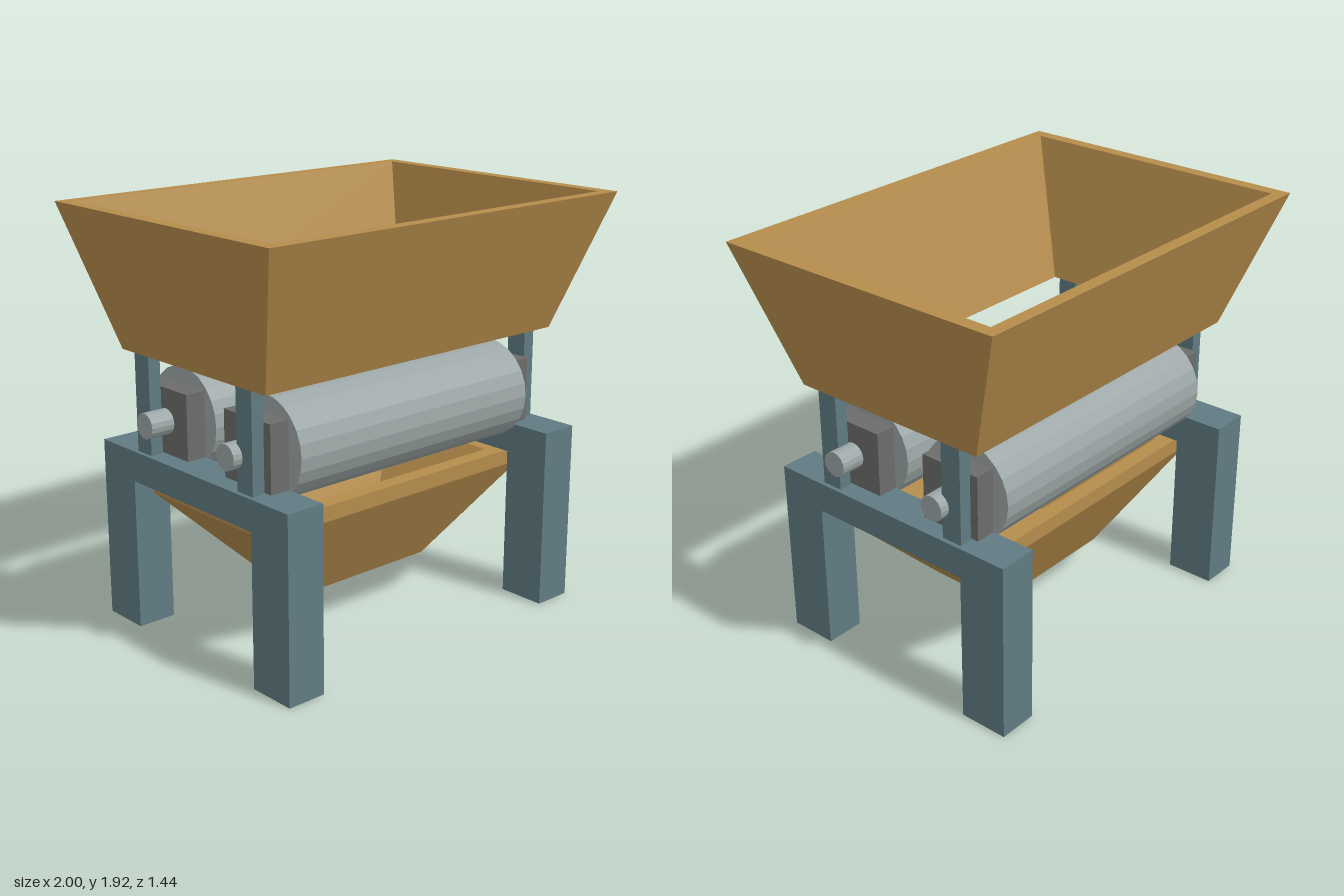
import * as THREE from 'three';

const material = (color) => new THREE.MeshStandardMaterial({ color, flatShading: true });

// Joins rectangular rings [halfX, y, halfZ] into a closed hollow shell:
// outside from bottom to top, then inside from top to bottom.
function hollowShell(rings) {
  const corners = [[1, 1], [1, -1], [-1, -1], [-1, 1]];
  const point = ([hx, y, hz], k) => [corners[k % 4][0] * hx, y, corners[k % 4][1] * hz];
  const positions = [];
  rings.forEach((a, i) => {
    const b = rings[(i + 1) % rings.length];
    for (let k = 0; k < 4; k++) {
      const [p, q, r, s] = [point(a, k), point(a, k + 1), point(b, k + 1), point(b, k)];
      positions.push(...p, ...q, ...r, ...p, ...r, ...s);
    }
  });
  const geometry = new THREE.BufferGeometry();
  geometry.setAttribute('position', new THREE.Float32BufferAttribute(positions, 3));
  geometry.computeVertexNormals();
  return geometry;
}

export function createModel() {
  const model = new THREE.Group();
  model.name = 'rollerMill';
  const wood = material(0xb58c4c);
  const frame = material(0x607b82);
  const steel = material(0x9ca6a6);
  const iron = material(0x6c6c6a);

  function add(name, geometry, mat, x = 0, y = 0, z = 0) {
    const mesh = new THREE.Mesh(geometry, mat);
    mesh.name = name;
    mesh.position.set(x, y, z);
    model.add(mesh);
    return mesh;
  }
  // Box given by its lower and upper limits
  function box(name, mat, [x0, x1], [y0, y1], [z0, z1]) {
    add(name, new THREE.BoxGeometry(x1 - x0, y1 - y0, z1 - z0), mat,
      (x0 + x1) / 2, (y0 + y1) / 2, (z0 + z1) / 2);
  }
  const mirror = ([a, b], side) => (side > 0 ? [a, b] : [-b, -a]);

  // Feed hopper
  add('hopper', hollowShell([
    [0.84, 1.285, 0.49], [1, 1.92, 0.72], [0.94, 1.92, 0.66], [0.78, 1.285, 0.43],
  ]), wood);

  // Discharge chute with an upright rim
  add('chute', hollowShell([
    [0.35, 0.21, 0.175], [0.77, 0.63, 0.395], [0.77, 0.7, 0.395],
    [0.62, 0.7, 0.32], [0.29, 0.21, 0.115],
  ]), wood);

  // Rollers and their shafts
  for (const z of [0.28, -0.28]) {
    const barrel = new THREE.CylinderGeometry(0.23, 0.23, 1.35, 24).rotateZ(Math.PI / 2);
    const shaft = new THREE.CylinderGeometry(0.058, 0.058, 1.77, 16).rotateZ(Math.PI / 2);
    add('roller', barrel, steel, 0, 0.99, z);
    add('shaft', shaft, steel, 0, 0.99, z);
  }

  for (const sx of [1, -1]) {
    // Cross beam of each end frame
    box('crossBeam', frame, mirror([0.675, 0.86], sx), [0.7, 0.84], [-0.41, 0.41]);
    for (const sz of [1, -1]) {
      box('leg', frame, mirror([0.675, 0.86], sx), [0, 0.84], mirror([0.41, 0.64], sz));
      box('hopperPost', frame, mirror([0.78, 0.84], sx), [0.84, 1.285], mirror([0.3, 0.4], sz));
      box('bearingBlock', iron, mirror([0.67, 0.77], sx), [0.84, 1.14], mirror([0.13, 0.43], sz));
    }
  }
  return model;
}
